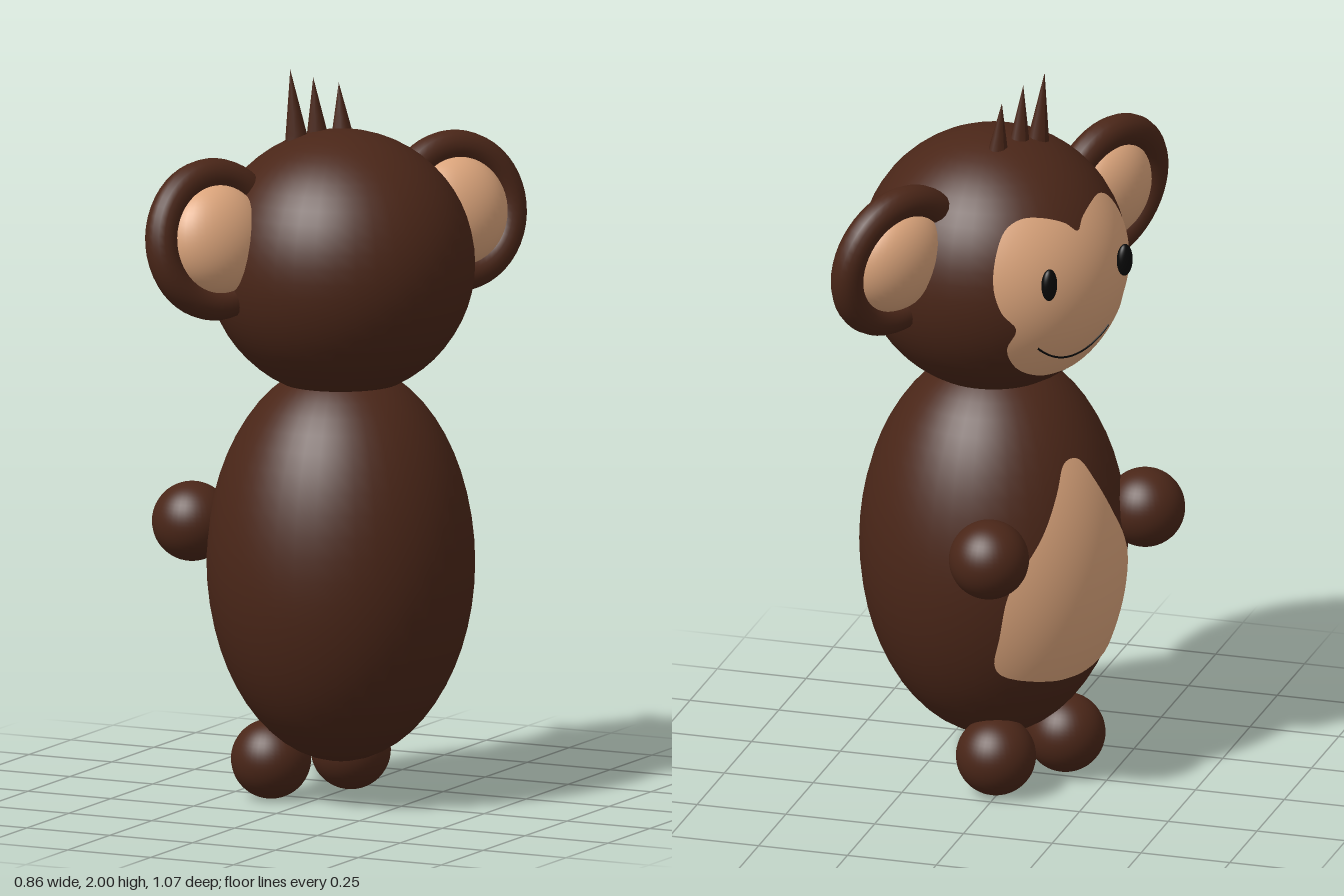
import * as THREE from 'three';

const mat = (color) => new THREE.MeshStandardMaterial({ color, roughness: 0.9 });

export function createModel() {
  const brown = mat(0x4a2618);
  const tan = mat(0xdca57c);
  tan.side = THREE.DoubleSide;
  const black = mat(0x080808);

  const model = new THREE.Group();
  model.name = 'monkey';
  // Built facing +z, then turned to its final heading
  const figure = new THREE.Group();
  figure.name = 'figure';
  figure.position.set(0.07, 0, 0.005);
  figure.rotation.y = -2.084;
  model.add(figure);

  const HEAD = { y: 1.475, rx: 0.362, ry: 0.362 };
  const BODY = { y: 0.66, rx: 0.362, ry: 0.545 };

  function add(name, geometry, material, x = 0, y = 0, z = 0, parent = figure) {
    const mesh = new THREE.Mesh(geometry, material);
    mesh.name = name;
    mesh.position.set(x, y, z);
    parent.add(mesh);
    return mesh;
  }

  function ellipsoid(name, material, [x, y, z], [rx, ry, rz], parent = figure) {
    const geometry = new THREE.SphereGeometry(1, 40, 28).scale(rx, ry, rz);
    return add(name, geometry, material, x, y, z, parent);
  }

  // Depth of the front surface of an ellipsoid at (x, y) from its centre
  const depth = (e, x, y) =>
    e.rx * Math.sqrt(Math.max(0, 1 - (x / e.rx) ** 2 - (y / e.ry) ** 2));

  // Symmetric patch laid over an ellipsoid; half outline runs top to bottom on +x
  function patch(name, e, half, centreY) {
    const mirrored = half.slice(1, -1).reverse().map(([x, y]) => [-x, y]);
    const points = [...half, ...mirrored].map(([x, y]) => new THREE.Vector3(x, y, 0));
    const outline = new THREE.CatmullRomCurve3(points, true, 'centripetal').getPoints(96);
    const n = outline.length, rings = 12, lift = 1.012;
    const positions = [], normals = [], index = [];
    for (let r = 0; r <= rings; r++) {
      for (const p of outline) {
        const t = r / rings;
        const x = p.x * t, y = centreY + (p.y - centreY) * t, z = depth(e, x, y);
        positions.push(x * lift, y * lift, z * lift);
        const normal = new THREE.Vector3(x / e.rx ** 2, y / e.ry ** 2, z / e.rx ** 2).normalize();
        normals.push(normal.x, normal.y, normal.z);
      }
    }
    for (let r = 0; r < rings; r++) {
      for (let i = 0; i < n - 1; i++) {
        const a = r * n + i, b = a + n;
        // Outline runs clockwise seen from the front
        index.push(a, b + 1, b, a, a + 1, b + 1);
      }
    }
    const geometry = new THREE.BufferGeometry();
    geometry.setAttribute('position', new THREE.Float32BufferAttribute(positions, 3));
    geometry.setAttribute('normal', new THREE.Float32BufferAttribute(normals, 3));
    geometry.setIndex(index);
    add(name, geometry, tan, 0, e.y, 0);
  }

  // Head and body
  ellipsoid('head', brown, [0, HEAD.y, 0], [HEAD.rx, HEAD.ry, HEAD.rx]);
  ellipsoid('body', brown, [0, BODY.y, 0], [BODY.rx, BODY.ry, BODY.rx]);

  // Light face and belly
  patch('face', HEAD, [
    [0, 0.16], [0.03, 0.185], [0.086, 0.207], [0.14, 0.212], [0.19, 0.188], [0.232, 0.12],
    [0.248, 0.04], [0.232, -0.03], [0.196, -0.08], [0.203, -0.14], [0.156, -0.21],
    [0.07, -0.255], [0, -0.262],
  ], -0.03);
  patch('belly', BODY, [
    [0, 0.31], [0.03, 0.3], [0.07, 0.235], [0.13, 0.13], [0.185, 0.045], [0.22, -0.03],
    [0.228, -0.15], [0.222, -0.24], [0.195, -0.275], [0.06, -0.31], [0, -0.313],
  ], -0.08);

  // Thin smiling mouth
  const smile = [];
  for (let i = -6; i <= 6; i++) {
    const x = (i / 6) * 0.13, y = -0.2 + 0.055 * (i / 6) ** 2;
    smile.push(new THREE.Vector3(x, y, depth(HEAD, x, y)).multiplyScalar(1.015));
  }
  const smileCurve = new THREE.CatmullRomCurve3(smile);
  add('mouth', new THREE.TubeGeometry(smileCurve, 32, 0.003, 6), black, 0, HEAD.y, 0);

  // Paired parts
  for (const [side, s] of [['left', 1], ['right', -1]]) {
    ellipsoid(`${side}Eye`, black, [s * 0.14, 1.527, 0.365], [0.024, 0.045, 0.018]);
    ellipsoid(`${side}Hand`, brown, [s * 0.29, 0.755, 0.287], [0.108, 0.108, 0.108]);
    ellipsoid(`${side}Foot`, brown, [s * 0.129, 0.11, 0.145], [0.108, 0.108, 0.108]);

    const ear = new THREE.Group();
    ear.name = `${side}Ear`;
    ear.position.set(s * 0.39, 1.573, 0.032);
    ear.rotation.set(0.15, s * 0.05, 0);
    figure.add(ear);
    add('earRim', new THREE.TorusGeometry(0.175, 0.044, 16, 48), brown, 0, 0, 0, ear);
    ellipsoid('innerEar', tan, [0, 0, -0.008], [0.15, 0.15, 0.1], ear);
  }

  // Tuft of hair: cones sheared so each tip lands where it should
  const tufts = [
    { base: [0.085, 0.08], tip: [0.103, 2.0, 0.091] },
    { base: [0.025, 0.07], tip: [0.04, 1.975, 0.074] },
    { base: [-0.055, 0.07], tip: [-0.05, 1.95, 0.085] },
  ];
  for (const { base, tip } of tufts) {
    const bottom = 1.77, height = tip[1] - bottom;
    const geometry = new THREE.ConeGeometry(0.04, height, 10, 4).translate(0, height / 2, 0);
    const p = geometry.attributes.position;
    for (let i = 0; i < p.count; i++) {
      const t = p.getY(i) / height;
      p.setX(i, p.getX(i) + (tip[0] - base[0]) * t);
      p.setZ(i, p.getZ(i) * 0.8 + (tip[2] - base[1]) * t);
    }
    geometry.computeVertexNormals();
    add('hairSpike', geometry, brown, base[0], bottom, base[1]);
  }

  return model;
}
